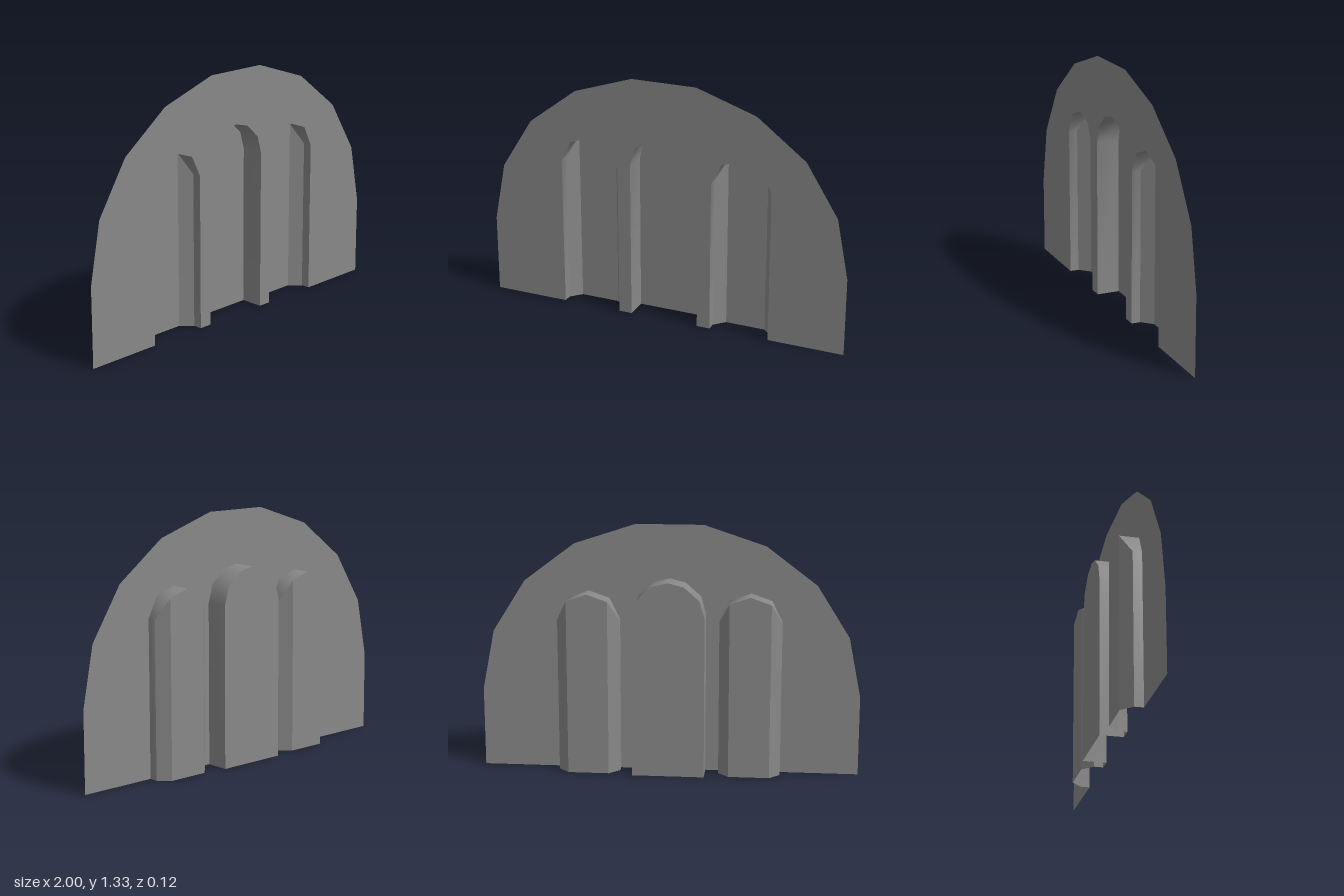
import * as THREE from 'three';
import { toCreasedNormals } from 'three/addons/utils/BufferGeometryUtils.js';

const FRONT = 0.062;
const material = new THREE.MeshStandardMaterial({ color: 0x888888, side: THREE.DoubleSide });

// Mirror a right-hand half outline (apex down to the floor) into a full left-to-right one.
function mirrored(half) {
  const left = half.filter(([x]) => x > 0).map(([x, y]) => [-x, y]).reverse();
  return [...left, ...half];
}

const panelOutline = mirrored([[0.177, 1.325], [0.5, 1.218], [0.765, 1.017], [0.937, 0.743], [1, 0.425], [1, 0]]);
const centreArch = mirrored([[0, 1.042], [0.083, 1.021], [0.163, 0.95], [0.19, 0.855], [0.19, 0]]);
const sideArch = mirrored([[0, 0.97], [0.108, 0.932], [0.163, 0.822], [0.163, 0]]);

// Side niches have chamfered rear corners, the centre one is square.
const flatBack = () => -0.062;
const chamferedBack = x => (Math.abs(x) > 0.11 ? 0.014 : -0.042);

const niches = [
  { name: 'rightNiche', x: -0.425, arch: sideArch, back: chamferedBack },
  { name: 'centreNiche', x: 0, arch: centreArch, back: flatBack },
  { name: 'leftNiche', x: 0.425, arch: sideArch, back: chamferedBack },
];

function quadGeometry(quads) {
  const positions = quads.flatMap(([a, b, c, d]) => [a, b, c, a, c, d].flat());
  const geometry = new THREE.BufferGeometry();
  geometry.setAttribute('position', new THREE.Float32BufferAttribute(positions, 3));
  geometry.computeVertexNormals();
  return geometry;
}

function addMesh(parent, name, geometry) {
  const mesh = new THREE.Mesh(geometry, material);
  mesh.name = name;
  parent.add(mesh);
}

// Thin arched recess, open at the front and at the floor.
function createNiche({ name, x, arch, back }) {
  const sides = [];
  const rear = [];
  for (let i = 0; i < arch.length - 1; i++) {
    const [x0, y0] = arch[i];
    const [x1, y1] = arch[i + 1];
    const z0 = back(x0);
    const z1 = back(x1);
    sides.push([[x0, y0, FRONT], [x0, y0, z0], [x1, y1, z1], [x1, y1, FRONT]]);
    // Rear wall in upright strips under each arch segment
    if (x1 > x0) rear.push([[x0, 0, z0], [x1, 0, z1], [x1, y1, z1], [x0, y0, z0]]);
  }
  const niche = new THREE.Group();
  niche.name = name;
  niche.position.x = x;
  addMesh(niche, 'archLining', toCreasedNormals(quadGeometry(sides), 0.85));
  addMesh(niche, 'rearWall', quadGeometry(rear));
  return niche;
}

export function createModel() {
  const model = new THREE.Group();
  model.name = 'archedNichePanel';

  // Flat panel, notched from the floor by the three arches
  const points = [...panelOutline];
  for (const { x, arch } of [...niches].reverse()) {
    points.push(...[...arch].reverse().map(([px, py]) => [px + x, py]));
  }
  const shape = new THREE.Shape(points.map(([x, y]) => new THREE.Vector2(x, y)));
  addMesh(model, 'frontPanel', new THREE.ShapeGeometry(shape).translate(0, 0, FRONT));

  for (const niche of niches) model.add(createNiche(niche));
  return model;
}
